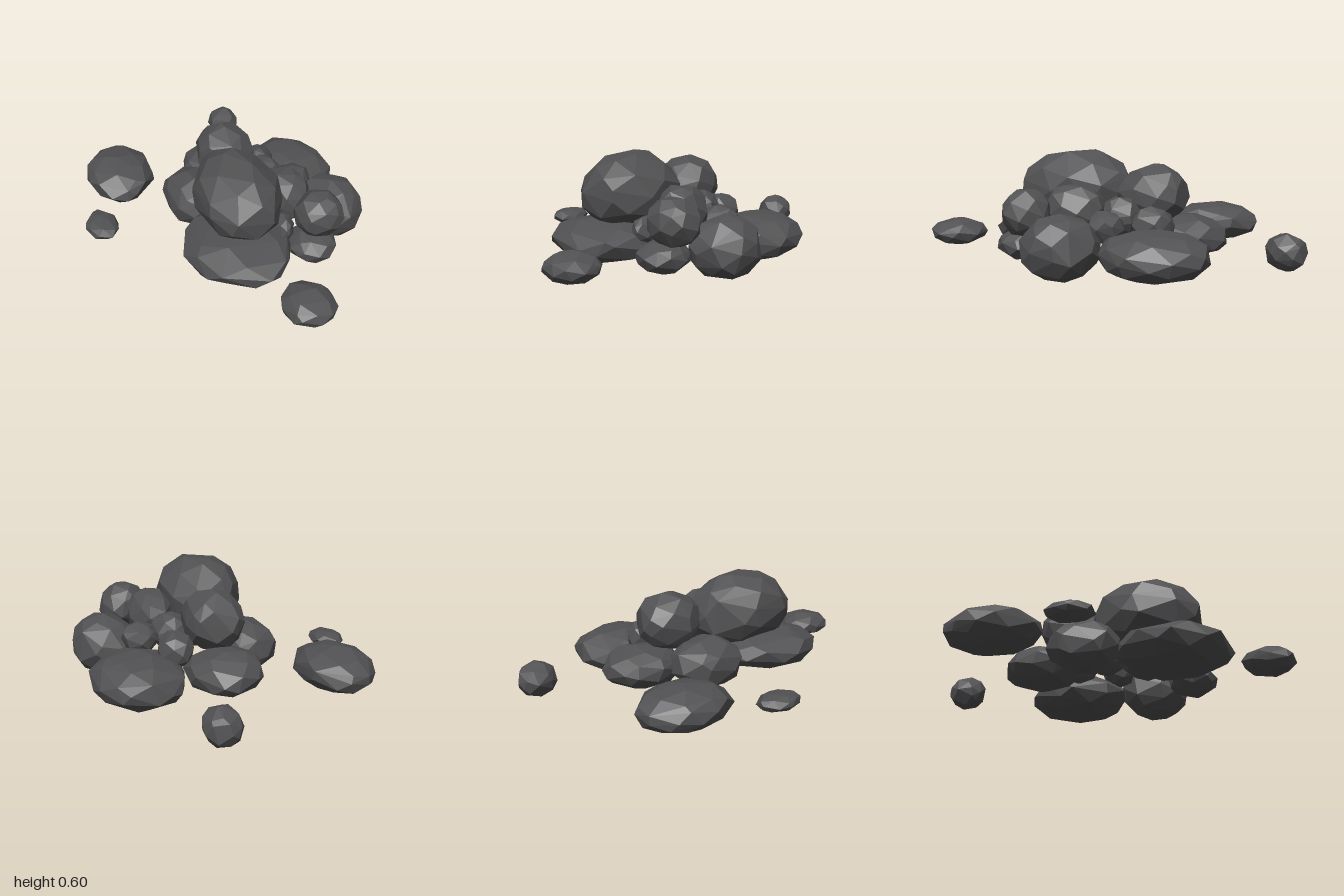
import * as THREE from 'three';
import { ConvexGeometry } from 'three/addons/geometries/ConvexGeometry.js';

// Small seeded generator so every stone keeps its own fixed facets
function seeded(seed) {
  let s = seed * 7919 + 13;
  return () => {
    s = (s * 16807) % 2147483647;
    return s / 2147483647;
  };
}

// Faceted stone: hull of jittered sphere points, fitted to the ranges x, y, z
function stoneGeometry(seed, count, x, y, z) {
  const rand = seeded(seed);
  for (let i = 0; i < 5; i++) rand();
  const points = [];
  const spin = rand() * Math.PI * 2;
  for (let i = 0; i < count; i++) {
    const h = THREE.MathUtils.clamp(1 - (2 * (i + 0.5)) / count + (rand() - 0.5) * 0.12, -1, 1);
    const a = spin + i * 2.39996 + (rand() - 0.5) * 0.5;
    const r = Math.sqrt(1 - h * h);
    const k = 0.95 + rand() * 0.07;
    points.push(new THREE.Vector3(r * Math.cos(a) * k, h * k, r * Math.sin(a) * k));
  }
  const box = new THREE.Box3().setFromPoints(points);
  const fit = (v, lo, hi, range) => range[0] + ((v - lo) / (hi - lo)) * (range[1] - range[0]);
  for (const p of points) {
    p.set(
      fit(p.x, box.min.x, box.max.x, x),
      fit(p.y, box.min.y, box.max.y, y),
      fit(p.z, box.min.z, box.max.z, z)
    );
  }
  return new ConvexGeometry(points);
}

export function createModel() {
  const model = new THREE.Group();
  model.name = 'rockPile';
  const stone = new THREE.MeshStandardMaterial({ color: 0x515153 });
  stone.name = 'darkStone';

  // name, hull points, x range, y range, z range
  const rocks = [
    // Main boulders
    ['domeBoulder', 46, [-0.21, 0.23], [0.19, 0.595], [-0.1, 0.5]],
    ['frontBaseBoulder', 40, [-0.33, 0.24], [0.05, 0.28], [0.03, 0.67]],
    ['backRightBoulder', 48, [0.27, 0.745], [0.01, 0.25], [-0.53, 0.02]],
    ['rightBoulder', 44, [0.39, 0.74], [0, 0.335], [0, 0.39]],
    ['backBoulder', 42, [-0.1, 0.29], [0.05, 0.27], [-0.6, -0.17]],
    ['upperBackBoulder', 42, [-0.07, 0.25], [0.22, 0.535], [-0.4, -0.02]],
    ['leftBoulder', 40, [-0.28, 0.04], [0.04, 0.32], [-0.32, 0.07]],
    // Medium stones on the right of the heap
    ['frontUpperStone', 40, [0.27, 0.535], [0.17, 0.425], [0.28, 0.53]],
    ['frontLowerStone', 36, [0.22, 0.49], [0.06, 0.22], [0.29, 0.57]],
    ['centreStone', 40, [0.18, 0.43], [0.16, 0.44], [0.01, 0.34]],
    // Small filler stones
    ['fillerStone', 32, [0.2, 0.4], [0.14, 0.34], [-0.34, -0.12]],
    ['fillerStone', 32, [0.17, 0.37], [0.18, 0.38], [-0.16, 0.05]],
    ['fillerStone', 32, [0.33, 0.52], [0.16, 0.33], [-0.1, 0.09]],
    ['fillerStone', 28, [0.14, 0.27], [0.16, 0.31], [0.29, 0.45]],
    // Loose stones scattered around the heap
    ['looseBackLeftStone', 46, [-0.65, -0.275], [0.035, 0.255], [-0.77, -0.27]],
    ['looseLeftPebble', 30, [-0.75, -0.57], [0.08, 0.165], [-0.22, 0.02]],
    ['looseBackPebble', 34, [0.23, 0.415], [0.03, 0.225], [-1, -0.79]],
    ['looseFrontPebble', 36, [0.01, 0.275], [0.08, 0.225], [0.7, 1]],
  ];

  rocks.forEach(([name, count, x, y, z], i) => {
    const mesh = new THREE.Mesh(stoneGeometry(i + 3, count, x, y, z), stone);
    mesh.name = name;
    model.add(mesh);
  });
  return model;
}
